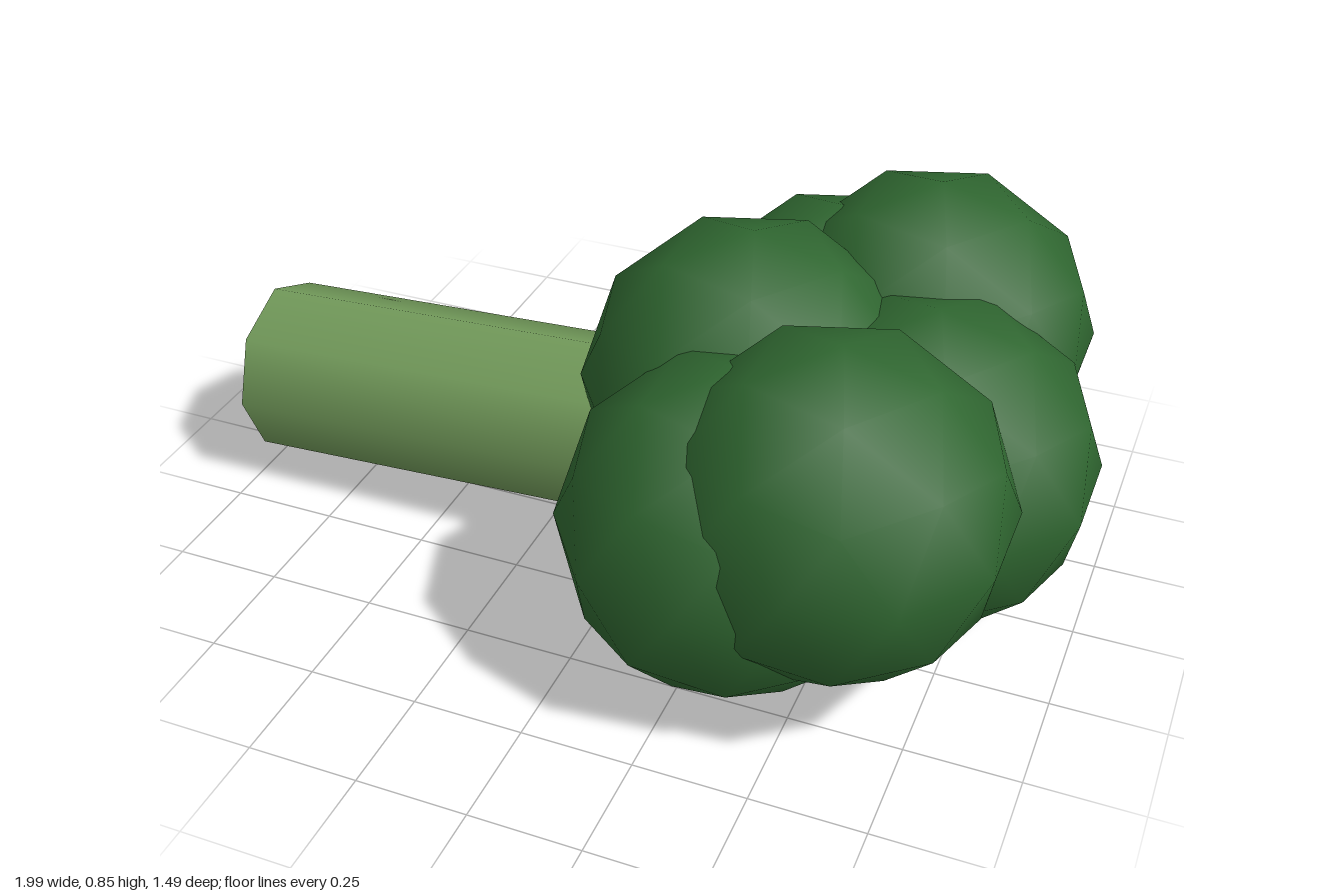
import * as THREE from 'three';

export function createModel() {
  const model = new THREE.Group();
  const leaf = new THREE.MeshStandardMaterial({ color: 0x2f6630 });
  const stalk = new THREE.MeshStandardMaterial({ color: 0x729a5a, side: THREE.DoubleSide });

  // Open eight-sided stem, slightly tilted
  const stem = new THREE.Mesh(new THREE.CylinderGeometry(0.207, 0.207, 0.942, 8, 1, true), stalk);
  stem.name = 'stem';
  stem.geometry.rotateZ(-Math.PI / 2);
  stem.rotation.z = 0.048;
  stem.position.set(-0.52, 0.262, 0);
  model.add(stem);

  // Low-poly ball with one corner pointing straight up
  const ball = new THREE.IcosahedronGeometry(0.376, 1);
  ball.rotateZ(-Math.atan(2 / (1 + Math.sqrt(5))));

  // Upper and lower layers of three florets each
  const florets = new THREE.Group();
  florets.name = 'florets';
  const layers = [
    { name: 'upperFloret', y: 0.479, middleX: 0.223, sideX: 0.535 },
    { name: 'lowerFloret', y: 0.377, middleX: 0.637, sideX: 0.322 },
  ];
  for (const { name, y, middleX, sideX } of layers) {
    for (const side of [-1, 0, 1]) {
      const floret = new THREE.Mesh(ball, leaf);
      floret.name = name;
      floret.position.set(side ? sideX : middleX, y, side * 0.37);
      florets.add(floret);
    }
  }
  model.add(florets);
  return model;
}
